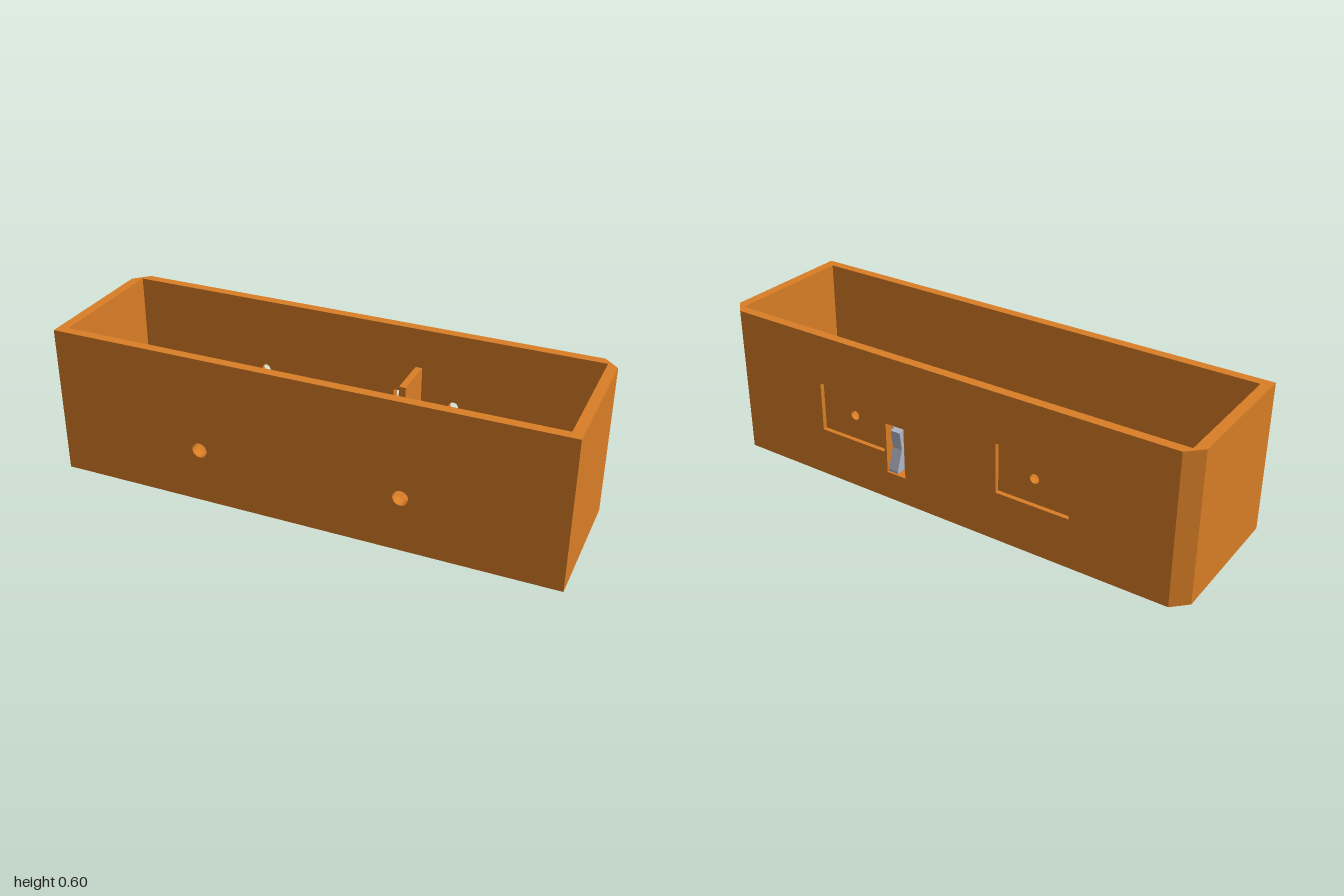
import * as THREE from 'three';

const orange = new THREE.MeshStandardMaterial({ color: 0xd97e26 });
orange.name = 'orange plastic';
const grey = new THREE.MeshStandardMaterial({ color: 0xb2b6c8 });
grey.name = 'switch grey';

const HEIGHT = 0.6, FLOOR = 0.04, HALF_FLOOR = 0.02;
const INNER_X = 0.96, INNER_Z = 0.262, CHAMFER = 0.057;

const polygon = (pts) => new THREE.Shape(pts.map(([a, b]) => new THREE.Vector2(a, b)));
const rect = (x0, y0, x1, y1) => polygon([[x0, y0], [x1, y0], [x1, y1], [x0, y1]]);
const circle = (x, y, r) => new THREE.Path().absarc(x, y, r, 0, Math.PI * 2, true);

// Rounded slot lying along x
function slot(x, y, length, r) {
  const d = length / 2 - r;
  const p = new THREE.Path();
  p.absarc(x + d, y, r, -Math.PI / 2, Math.PI / 2, false);
  p.absarc(x - d, y, r, Math.PI / 2, Math.PI * 1.5, false);
  p.closePath();
  return p;
}

function extrude(shape, depth, holes = []) {
  shape.holes.push(...holes);
  return new THREE.ExtrudeGeometry(shape, { depth, bevelEnabled: false, curveSegments: 16 });
}

// Upright panel drawn in x, y and running from z0 to z1
const panel = (shape, z0, z1, holes) => extrude(shape, z1 - z0, holes).translate(0, 0, z0);

// Horizontal slab drawn in x, -z and running from y0 to y1
const slab = (shape, y0, y1, holes) =>
  extrude(shape, y1 - y0, holes).rotateX(-Math.PI / 2).translate(0, y0, 0);

const box = (x0, y0, z0, x1, y1, z1) =>
  new THREE.BoxGeometry(x1 - x0, y1 - y0, z1 - z0)
    .translate((x0 + x1) / 2, (y0 + y1) / 2, (z0 + z1) / 2);

export function createModel() {
  const model = new THREE.Group();
  model.name = 'openBox';
  const add = (parent, name, geometry, material) => {
    const mesh = new THREE.Mesh(geometry, material);
    mesh.name = name;
    parent.add(mesh);
    return mesh;
  };

  // Floor: pierced lower layer, upper layer with the round recess
  const c = 1 - CHAMFER, b = 0.3 - CHAMFER;
  const outline = () => polygon([[-1, -0.3], [1, -0.3], [1, b], [c, 0.3], [-c, 0.3], [-1, b]]);
  const slots = () => [-0.2, 0.2].map((x) => slot(x, 0, 0.08, 0.017));
  const screwHoles = [-0.095, 0.095].map((x) => circle(x, 0, 0.019));
  add(model, 'floorBase', slab(outline(), 0, HALF_FLOOR, [...slots(), ...screwHoles]), orange);
  add(model, 'floorTop', slab(outline(), HALF_FLOOR, FLOOR, [...slots(), circle(0, 0, 0.15)]), orange);

  // Front wall with two round holes
  add(model, 'frontWall', panel(rect(-INNER_X, FLOOR, INNER_X, HEIGHT), INNER_Z, 0.3,
    [-0.4, 0.4].map((x) => circle(x, 0.22, 0.03))), orange);

  // Back wall: outer layer with shallow recesses, inner layer with small holes
  const opening = () => rect(0.155, 0.115, 0.239, 0.325);
  const backShape = () => rect(-0.94, FLOOR, 0.94, HEIGHT);
  add(model, 'backWallOuter', panel(backShape(), -0.3, -0.282,
    [opening(), ...[-0.4, 0.4].map((x) => rect(x - 0.15, 0.2, x + 0.15, 0.4))]), orange);
  add(model, 'backWallInner', panel(backShape(), -0.282, -INNER_Z,
    [opening(), ...[-0.4, 0.4].map((x) => circle(x, 0.3, 0.019))]), orange);

  // Side walls with the chamfered rear corners
  for (const s of [-1, 1]) {
    const wall = polygon([[0.94, 0.3], [c, 0.3], [1, b], [1, -0.3], [INNER_X, -0.3],
      [INNER_X, INNER_Z], [0.94, INNER_Z]].map(([x, y]) => [s * x, y]));
    add(model, s > 0 ? 'leftWall' : 'rightWall', slab(wall, FLOOR, HEIGHT), orange);
  }

  // Fin beside the switch
  add(model, 'switchFin', box(0.241, FLOOR, -INNER_Z, 0.268, 0.44, -0.085), orange);

  // Rocker switch in the back opening
  const rocker = new THREE.Group();
  rocker.name = 'rockerSwitch';
  model.add(rocker);
  add(rocker, 'switchBody', box(0.176, 0.125, -0.262, 0.24, 0.295, -0.16), grey);
  const profile = polygon([[0.262, 0.125], [0.303, 0.125], [0.304, 0.135],
    [0.275, 0.215], [0.284, 0.29], [0.262, 0.295]]);
  add(rocker, 'switchLever', extrude(profile, 0.042).rotateY(Math.PI / 2).translate(0.187, 0, 0), grey);
  for (const y of [0.15, 0.21, 0.27]) {
    add(rocker, 'switchTerminal', box(0.192, y - 0.005, -0.16, 0.22, y + 0.005, -0.135), grey);
    add(rocker, 'terminalTip', box(0.199, y - 0.005, -0.135, 0.213, y + 0.005, -0.115), grey);
  }

  return model;
}
